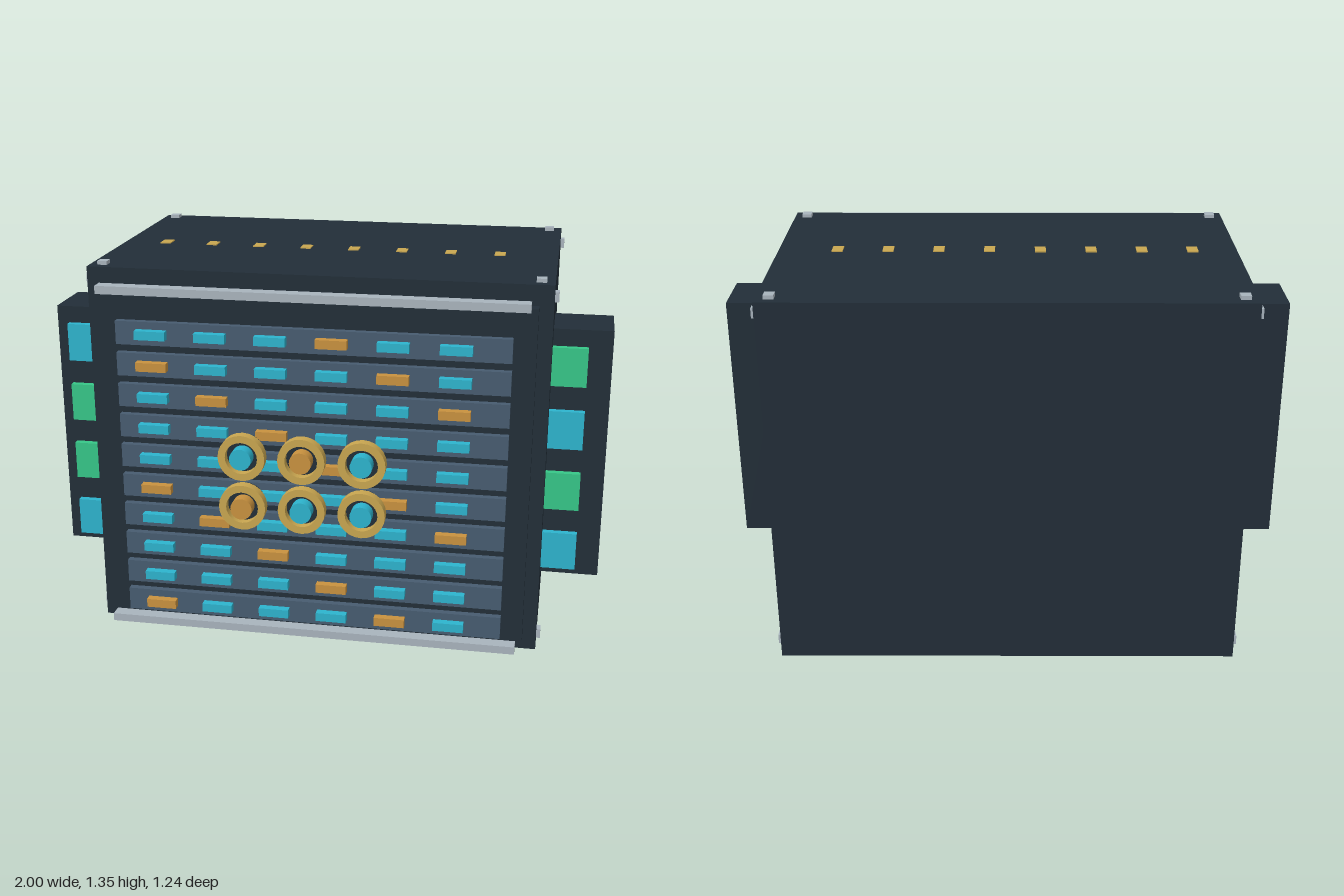
import * as THREE from 'three';

const mat = (name, color) => {
  const m = new THREE.MeshStandardMaterial({ color });
  m.name = name;
  return m;
};

export function createModel() {
  const dark = mat('dark casing', 0x222e38);
  const slate = mat('slate', 0x475c70);
  const cyan = mat('cyan', 0x2db4ce);
  const green = mat('green', 0x36c788);
  const amber = mat('amber', 0xc9923f);
  const gold = mat('gold', 0xc9a650);
  const steel = mat('steel', 0xa9b4bd);

  const model = new THREE.Group();
  model.name = 'controlCabinet';

  const add = (name, geometry, material, x, y, z, parent = model) => {
    const mesh = new THREE.Mesh(geometry, material);
    mesh.name = name;
    mesh.position.set(x, y, z);
    parent.add(mesh);
    return mesh;
  };
  const box = (name, w, h, d, material, x, y, z, parent) =>
    add(name, new THREE.BoxGeometry(w, h, d), material, x, y, z, parent);

  // Main cabinet and the two side housings
  box('cabinet', 1.59, 1.324, 0.974, dark, 0, 0.678, -0.131);
  for (const s of [-1, 1]) box('sideHousing', 0.21, 0.917, 0.214, dark, s * 0.895, 0.679, 0.03);

  // Floating front panel with steel rails above and below
  box('frontPanel', 1.495, 1.194, 0.046, dark, 0, 0.678, 0.402);
  for (const y of [0.07, 1.29]) box('rail', 1.45, 0.028, 0.046, steel, 0, y, 0.459);

  // Ten module rows, each with six indicator blocks
  for (let r = 0; r < 10; r++) {
    const y = 0.135 + r * 0.1113;
    const row = new THREE.Group();
    row.name = 'moduleRow';
    model.add(row);
    box('rowPlate', 1.343, 0.082, 0.024, slate, 0, y, 0.437, row);
    for (let i = 0; i < 6; i++) {
      box('indicator', 0.107, 0.031, 0.028, (i + r) % 4 === 0 ? amber : cyan,
        -0.544 + i * 0.207, y, 0.463, row);
    }
  }

  // Six dials: dark barrel, gold ring and coloured hub
  const turned = (r, depth) => new THREE.CylinderGeometry(r, r, depth, 24).rotateX(Math.PI / 2);
  const ringProfile = [[0.055, -0.017], [0.08, -0.017], [0.08, 0.017], [0.055, 0.017], [0.055, -0.017]];
  const ringPoints = [];
  // Repeated corner points keep the ring edges crisp
  for (let i = 0; i < 4; i++) {
    ringPoints.push([ringProfile[i], ringProfile[i + 1]].map(([x, y]) => new THREE.Vector2(x, y)));
  }
  const hubs = [[amber, cyan, cyan], [cyan, amber, cyan]];
  hubs.forEach((colours, j) => colours.forEach((colour, i) => {
    const dial = new THREE.Group();
    dial.name = 'dial';
    dial.position.set((i - 1) * 0.203, 0.59 + j * 0.177, 0);
    model.add(dial);
    add('dialBarrel', turned(0.065, 0.04), dark, 0, 0, 0.555, dial);
    for (const pts of ringPoints) {
      add('dialRing', new THREE.LatheGeometry(pts, 24).rotateX(Math.PI / 2), gold, 0, 0, 0.587, dial);
    }
    add('dialHub', turned(0.037, 0.05), colour, 0, 0, 0.594, dial);
  }));

  // Status plates on both sides, listed from bottom to top
  const plates = { '-1': [cyan, green, green, cyan], '1': [cyan, green, cyan, green] };
  for (const s of [-1, 1]) {
    plates[s].forEach((colour, i) =>
      box('statusPlate', 0.15, 0.138, 0.024, colour, s < 0 ? -0.871 : 0.842, 0.328 + i * 0.229, 0.175));
  }
  box('sideTab', 0.06, 0.03, 0.018, gold, -0.81, 0.187, 0.2);

  // Gold vents across the top
  for (let i = 0; i < 8; i++) box('topVent', 0.038, 0.008, 0.054, gold, -0.64 + i * 0.1757, 1.34, -0.088);

  // Corner bolts on the top, bottom and sides
  for (const z of [0.308, -0.57]) {
    for (const s of [-1, 1]) {
      for (const y of [0.009, 1.344]) box('verticalBolt', 0.034, 0.018, 0.034, steel, s * 0.75, y, z);
      for (const y of [0.063, 1.293]) box('sideBolt', 0.022, 0.034, 0.034, steel, s * 0.798, y, z);
    }
  }

  return model;
}
